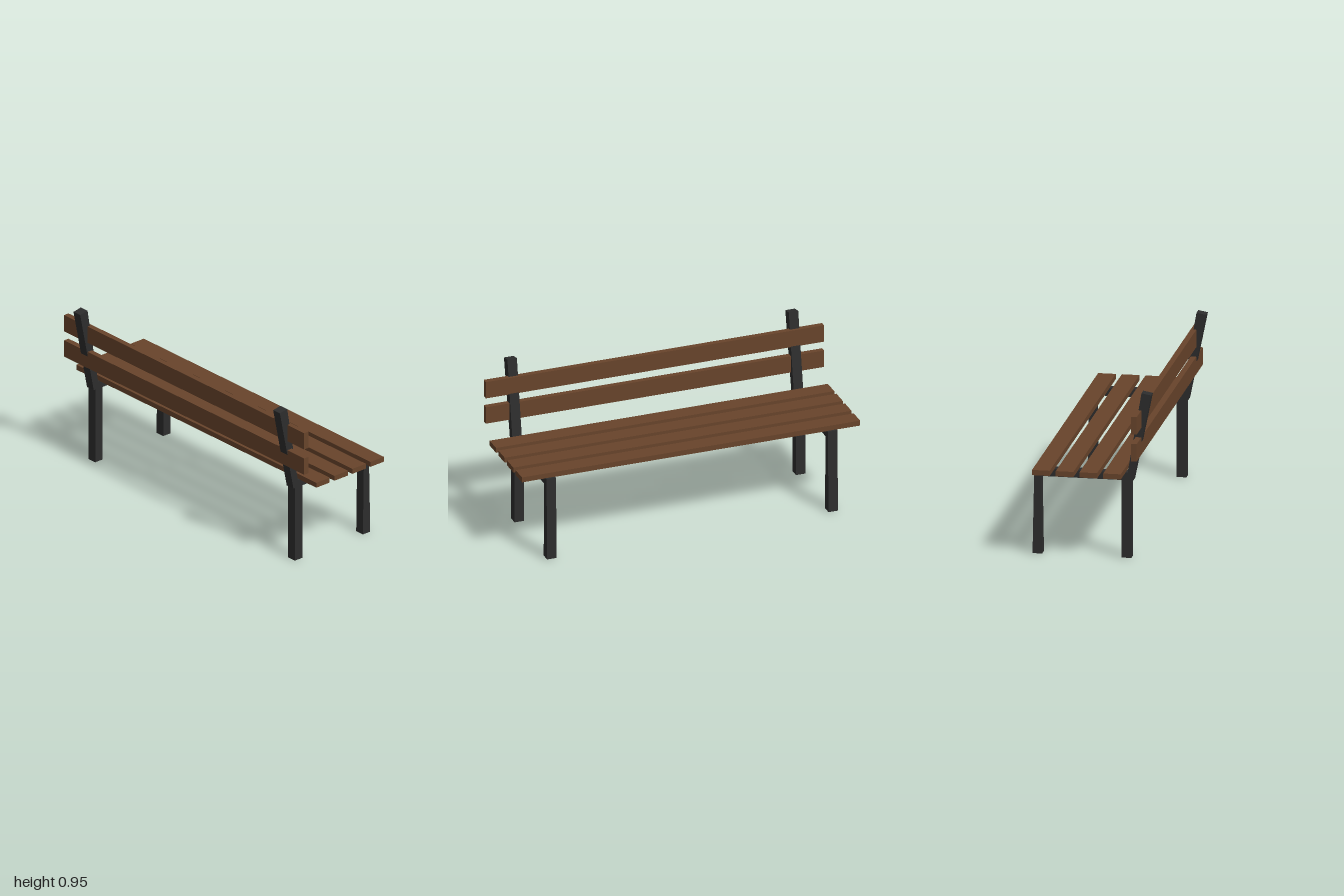
import * as THREE from 'three';

const wood = new THREE.MeshStandardMaterial({ color: 0x68442b });
wood.name = 'brown wood';
const metal = new THREE.MeshStandardMaterial({ color: 0x2d2d2d });
metal.name = 'dark metal';

// Side outline of one end frame as [z, y]: rear leg, back post, seat rail, front leg
const FRAME = [
  [0.168, 0], [0.222, 0], [0.222, 0.445], [0.233, 0.445],
  [0.333, 0.938], [0.279, 0.948], [0.201, 0.488], [-0.323, 0.488],
  [-0.333, 0], [-0.279, 0], [-0.286, 0.445], [0.168, 0.445],
];
const FRAME_WIDTH = 0.056;

function addSlat(group, name, height, depth, y, z) {
  const slat = new THREE.Mesh(new THREE.BoxGeometry(2, height, depth), wood);
  slat.name = name;
  slat.position.set(0, y, z);
  group.add(slat);
}

export function createModel() {
  const bench = new THREE.Group();
  bench.name = 'bench';

  // End frames, one on each side
  const outline = new THREE.Shape(FRAME.map(([z, y]) => new THREE.Vector2(z, y)));
  const frameGeometry = new THREE.ExtrudeGeometry(outline, { depth: FRAME_WIDTH, bevelEnabled: false });
  frameGeometry.translate(0, 0, -FRAME_WIDTH / 2);
  frameGeometry.rotateY(-Math.PI / 2);
  for (const side of [1, -1]) {
    const frame = new THREE.Mesh(frameGeometry, metal);
    frame.name = side > 0 ? 'leftFrame' : 'rightFrame';
    frame.position.x = side * 0.832;
    bench.add(frame);
  }

  // Four flat seat slats
  for (let i = 0; i < 4; i++) {
    addSlat(bench, `seatSlat${i + 1}`, 0.03, 0.099, 0.502, 0.139 - i * 0.133);
  }

  // Two upright backrest slats
  addSlat(bench, 'lowerBackSlat', 0.1, 0.032, 0.645, 0.262);
  addSlat(bench, 'upperBackSlat', 0.1, 0.032, 0.8, 0.262);

  return bench;
}
